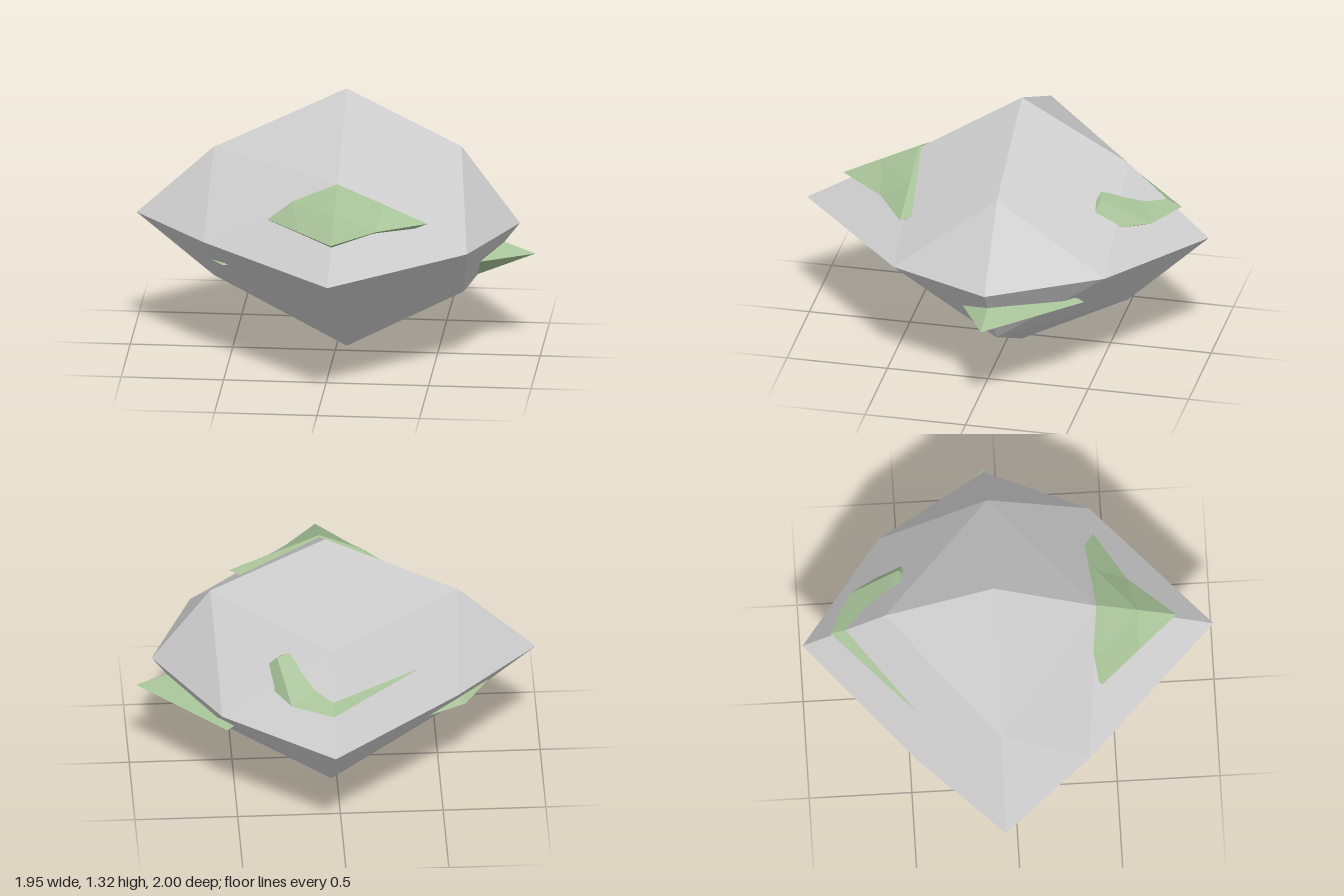
import * as THREE from 'three';

// Faceted stone: an octahedron whose every face is split in four.
// center: where the axes cross; tips: reach along [+x, -x, +y, -y, +z, -z];
// mids: moved edge midpoints, keyed by their two tips (others lie halfway).
function stone(name, material, center, tips, mids = {}) {
  const c = new THREE.Vector3(...center);
  const axes = ['x', 'y', 'z'];
  const key = (axis, sign) => axes[axis] + (sign > 0 ? '+' : '-');
  const tip = (axis, sign) => {
    const p = c.clone();
    return p.setComponent(axis, p.getComponent(axis) + sign * tips[axis * 2 + (sign > 0 ? 0 : 1)]);
  };
  const mid = (a, sa, b, sb) => {
    const moved = mids[key(a, sa) + key(b, sb)];
    return moved ? new THREE.Vector3(...moved) : tip(a, sa).lerp(tip(b, sb), 0.5);
  };

  const points = [];
  for (const sx of [1, -1]) for (const sy of [1, -1]) for (const sz of [1, -1]) {
    const X = tip(0, sx), Y = tip(1, sy), Z = tip(2, sz);
    const xy = mid(0, sx, 1, sy), yz = mid(1, sy, 2, sz), xz = mid(0, sx, 2, sz);
    for (const [p, q, r] of [[X, xy, xz], [Y, yz, xy], [Z, xz, yz], [xy, yz, xz]]) {
      points.push(...(sx * sy * sz > 0 ? [p, q, r] : [p, r, q]));
    }
  }
  const geometry = new THREE.BufferGeometry().setFromPoints(points);
  geometry.computeVertexNormals();
  const mesh = new THREE.Mesh(geometry, material);
  mesh.name = name;
  return mesh;
}

export function createModel() {
  const group = new THREE.Group();
  group.name = 'mossyRock';
  const grey = new THREE.MeshStandardMaterial({ color: 0xcccccc, flatShading: true });
  const green = new THREE.MeshStandardMaterial({ color: 0xa5c096, flatShading: true });

  // Main boulder
  group.add(stone('rock', grey, [0.05, 0.655, -0.07], [0.845, 1.025, 0.665, 0.655, 1.07, 0.93], {
    'x+y+': [0.61, 1.04, -0.07], 'x-y+': [-0.6, 1.0, -0.07],
    'x+y-': [0.62, 0.295, -0.07], 'x-y-': [-0.6, 0.345, -0.07],
    'y+z+': [0.05, 0.995, 0.43], 'y-z+': [0.05, 0.295, 0.41],
    'y+z-': [0.05, 1.02, -0.6], 'y-z-': [0.05, 0.275, -0.6],
    'x+z+': [0.68, 0.655, 0.43], 'x-z+': [-0.61, 0.655, 0.36],
    'x+z-': [0.58, 0.655, -0.6], 'x-z-': [-0.57, 0.655, -0.48],
  }));

  // Moss clumps, mostly sunk into the boulder
  group.add(stone('frontMoss', green, [0.05, 0.81, 0.44], [0.44, 0.34, 0.19, 0.19, 0.38, 0.38], {
    'x-y+': [-0.17, 0.905, 0.44], 'x+z+': [0.25, 0.81, 0.59],
  }));
  group.add(stone('leftMoss', green, [0.55, 0.5, -0.07], [0.42, 0.4, 0.16, 0.17, 0.24, 0.42]));
  group.add(stone('backMoss', green, [0.05, 0.81, -0.47], [0.36, 0.43, 0.19, 0.19, 0.4, 0.395], {
    'x+y+': [0.31, 0.94, -0.52], 'x+z-': [0.25, 0.81, -0.76],
  }));
  group.add(stone('rightMoss', green, [-0.41, 0.5, -0.07], [0.4, 0.36, 0.16, 0.16, 0.3, 0.36], {
    'x-z+': [-0.53, 0.5, 0.235], 'x-z-': [-0.62, 0.5, -0.32],
  }));
  return group;
}
